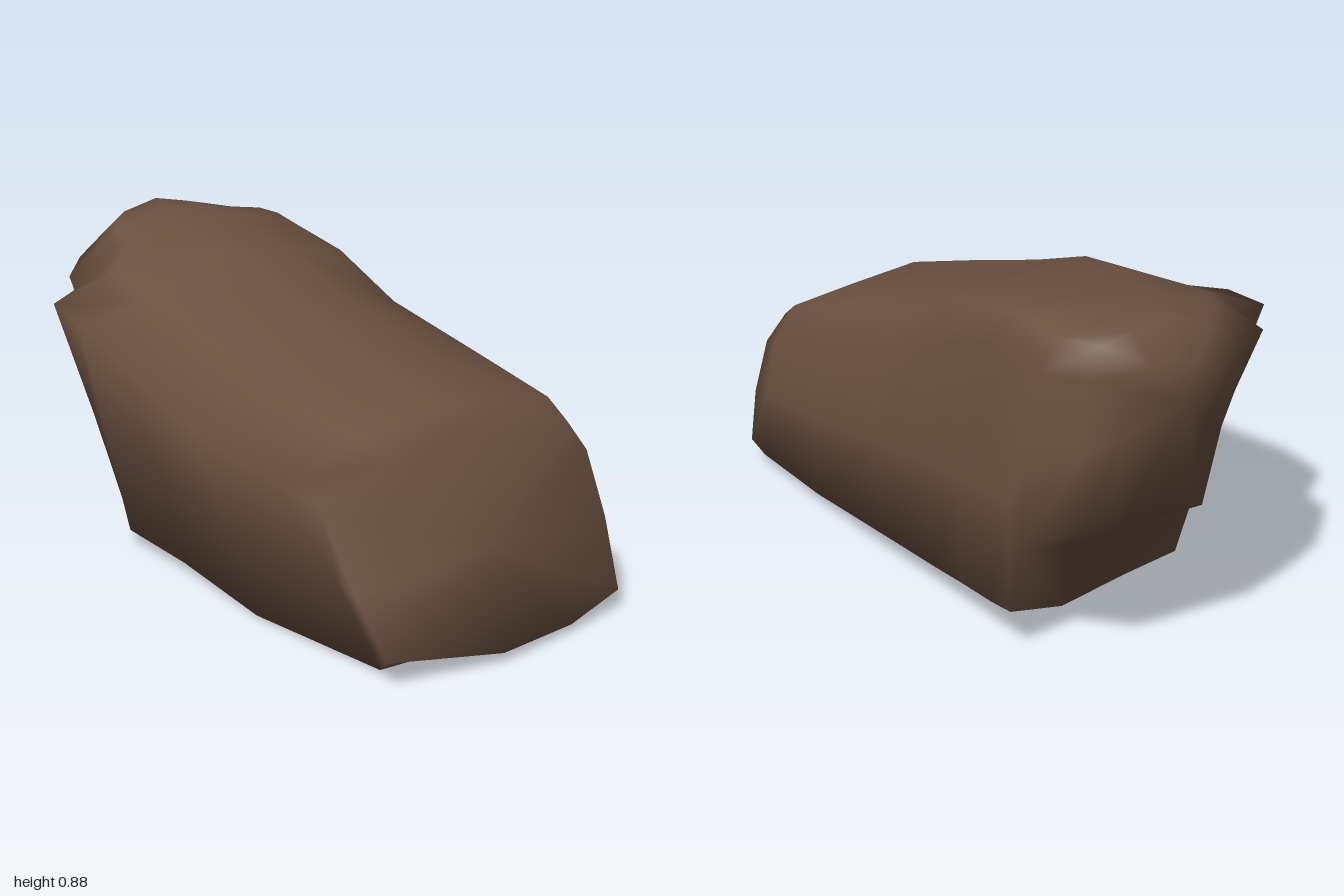
import * as THREE from 'three';

// Outline of a slice as fractions of its width and height: up the left side, over the top, down the right
const OUTLINE = [
  [0.18, 0.01], [0.09, 0.4], [0, 0.8], [0.22, 0.92], [0.48, 1], [0.72, 0.98],
  [0.92, 0.9], [0.98, 0.78], [1, 0.42], [0.99, 0.06], [0.75, 0], [0.45, 0.01],
];

// Slices front to back: z at bottom, z at top, left x, right x, bottom y, top y,
// left and right shoulder heights, forward cut of the low left side
const SLICES = [
  [1, 0.81, -0.42, 0.5, 0.02, 0.53, 0.95, 0.92, 0],
  [0.88, 0.73, -0.48, 0.51, 0.005, 0.59, 0.93, 0.91, 0],
  [0.4, 0.4, -0.52, 0.51, 0, 0.67, 0.9, 0.89, 0],
  [0, 0, -0.48, 0.51, 0.02, 0.77, 0.88, 0.88, 0],
  [-0.3, -0.25, -0.47, 0.505, 0.03, 0.84, 0.85, 0.94, 0],
  [-0.44, -0.48, -0.43, 0.505, 0.04, 0.86, 0.89, 0.97, 0.1],
  [-0.6, -0.6, -0.27, 0.505, 0.05, 0.87, 0.95, 0.98, 0.18],
  [-0.69, -0.7, -0.25, 0.505, 0.06, 0.88, 0.95, 0.97, 0.2],
  [-0.7, -0.81, -0.16, 0.49, 0.24, 0.88, 0.95, 0.94, 0.12],
  [-0.9, -0.92, -0.02, 0.43, 0.36, 0.88, 0.94, 0.93, 0.03],
  [-0.95, -0.98, 0.1, 0.36, 0.5, 0.8, 0.94, 0.95, 0],
];

function boulderGeometry() {
  const n = OUTLINE.length, pos = [], index = [];
  SLICES.forEach(([zB, zT, xL, xR, yB, yT, left, right, cut], s) => {
    OUTLINE.forEach(([u, v], i) => {
      const h = { 3: left, 5: (1 + right) / 2, 6: right, 7: 2 * right - 1.08 }[i] ?? v;
      let x = xL + (xR - xL) * u;
      let y = yB + (yT - yB) * h;
      let z = zB + (zT - zB) * h;
      if (s < 2) z -= 0.18 * Math.max(0, u - 0.45);      // right front corner cut back
      if (s < 2 && i === 2) z -= 0.07;                   // left front corner rounded off
      if (s === 0 && i === 0) { x -= 0.09; y += 0.04; z -= 0.04; }
      if (s === 0 && i === 1) { x -= 0.06; z -= 0.02; }
      if (h < 0.5) z += cut * (1 - u) * (1 - h);         // base recedes under the left rear
      pos.push(x, y, z);
    });
  });
  for (let s = 0; s < SLICES.length - 1; s++) {
    for (let i = 0; i < n; i++) {
      const a = s * n + i, b = s * n + (i + 1) % n;
      index.push(a, b, a + n, b, b + n, a + n);
    }
  }
  // Rounded ends
  const front = pos.length / 3, last = (SLICES.length - 1) * n;
  pos.push(0, 0.28, 0.92, 0.2, 0.7, -1);
  for (let i = 0; i < n; i++) {
    const j = (i + 1) % n;
    index.push(front, j, i, front + 1, last + i, last + j);
  }
  const g = new THREE.BufferGeometry();
  g.setAttribute('position', new THREE.Float32BufferAttribute(pos, 3));
  g.setIndex(index);
  g.computeVertexNormals();
  return g;
}

export function createModel() {
  const group = new THREE.Group();
  group.name = 'rock';
  const brown = new THREE.MeshStandardMaterial({ color: 0x6b5140 });
  brown.name = 'brown stone';
  const boulder = new THREE.Mesh(boulderGeometry(), brown);
  boulder.name = 'boulder';
  group.add(boulder);
  return group;
}
